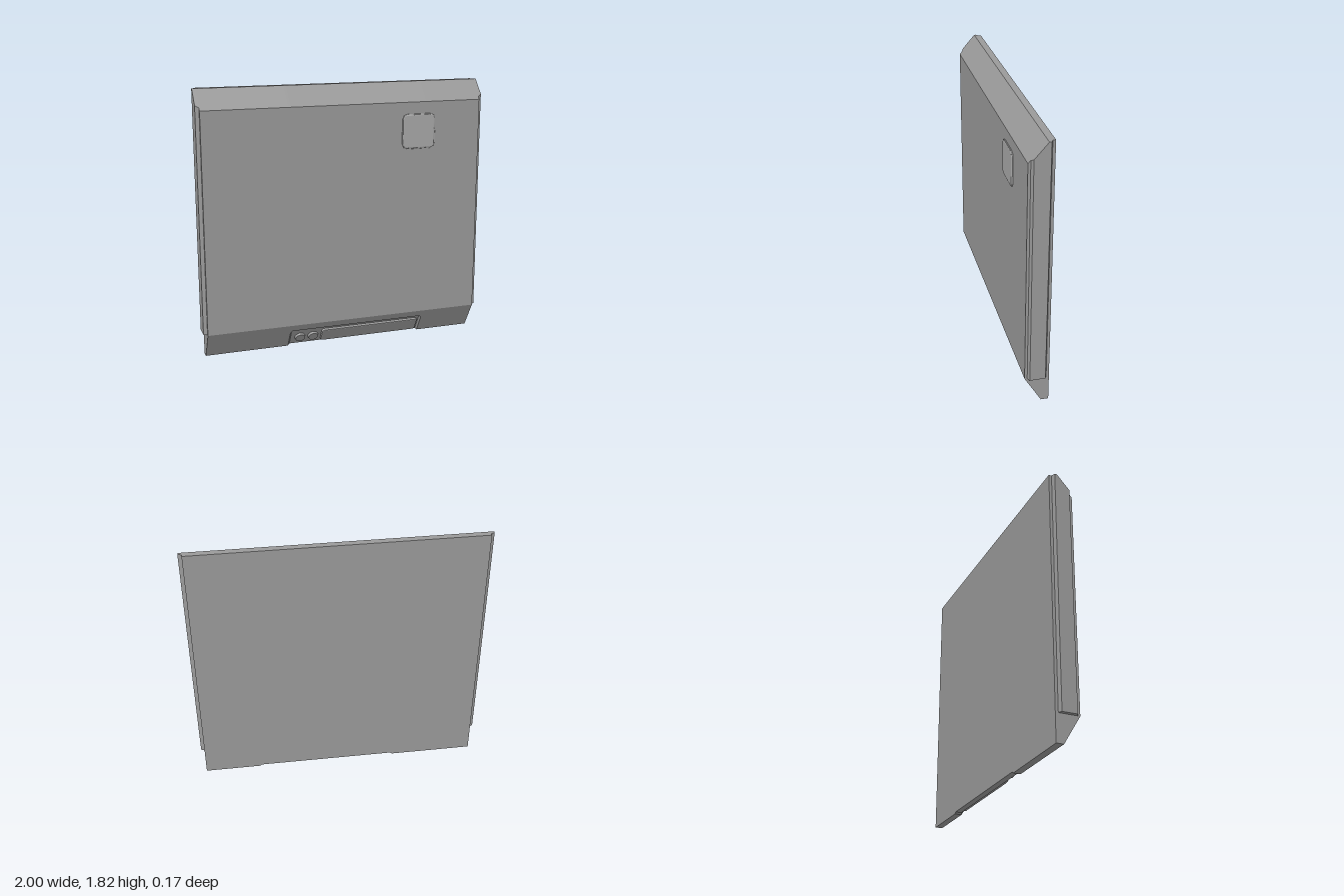
import * as THREE from 'three';
import { mergeVertices } from 'three/addons/utils/BufferGeometryUtils.js';

const material = new THREE.MeshStandardMaterial({ color: 0x999999, flatShading: true });
const smoothMaterial = new THREE.MeshStandardMaterial({ color: 0x999999 });
const badgeMaterial = new THREE.MeshStandardMaterial({ color: 0xa6a6a6 });

const BACK = -0.085, FRONT = 0.075, TOP = 1.82, SHOULDER = 1.69, CHIN = 0.185;
const LIP_BOTTOM = -0.035, LIP_TOP = -0.04;
const TILT = Math.atan2(FRONT - LIP_BOTTOM, CHIN);

// Skins a row of [x, profile] sections, profiles being [z, y] points, and caps both ends
function loft(name, sections) {
  const pos = [];
  const put = (i, j) => {
    const [x, profile] = sections[i];
    const [z, y] = profile[j % profile.length];
    pos.push(x, y, z);
  };
  const n = sections[0][1].length, last = sections.length - 1;
  for (let i = 0; i < last; i++) {
    for (let j = 0; j < n; j++) {
      put(i, j); put(i + 1, j); put(i + 1, j + 1);
      put(i, j); put(i + 1, j + 1); put(i, j + 1);
    }
  }
  for (let k = 1; k < n - 1; k++) {
    put(0, 0); put(0, k); put(0, k + 1);
    put(last, 0); put(last, k + 1); put(last, k);
  }
  const geo = new THREE.BufferGeometry();
  geo.setAttribute('position', new THREE.Float32BufferAttribute(pos, 3));
  geo.computeVertexNormals();
  const mesh = new THREE.Mesh(geo, material);
  mesh.name = name;
  return mesh;
}

// Point on the lower slope at height y, sunk inwards by depth
const chin = (y, depth) => [LIP_BOTTOM + y * Math.tan(TILT) - depth * Math.cos(TILT), y + depth * Math.sin(TILT)];

// Side profile of the slab with a recess in its lower slope
function bodyProfile(lift, depth, recessTop) {
  const low = chin(lift, depth);
  return [
    [BACK, low[1]], low, chin(recessTop - 0.012, depth), chin(recessTop, 0),
    [FRONT, CHIN], [FRONT, SHOULDER], [LIP_TOP, TOP], [BACK, TOP],
  ];
}

// Side profile of a rail, following the upper slope
function railProfile(back, front) {
  const slopeY = TOP - (front - LIP_TOP) * (TOP - SHOULDER) / (FRONT - LIP_TOP);
  return [[back, CHIN], [front, CHIN], [front, slopeY], [LIP_TOP, TOP], [back, TOP]];
}

// Rounded rectangle centred on the origin
function roundedRect(w, h, r) {
  const s = new THREE.Shape();
  const x = w / 2 - r, y = h / 2 - r;
  s.absarc(x, y, r, 0, Math.PI / 2);
  s.absarc(-x, y, r, Math.PI / 2, Math.PI);
  s.absarc(-x, -y, r, Math.PI, Math.PI * 1.5);
  s.absarc(x, -y, r, Math.PI * 1.5, Math.PI * 2);
  return s;
}

// Bevelled plate standing on z = 0, with outer size w by h
function plateGeometry(w, h, r, depth, bevel, curveSegments) {
  return new THREE.ExtrudeGeometry(roundedRect(w - 2 * bevel, h - 2 * bevel, r), {
    depth: depth - bevel, bevelEnabled: true, bevelThickness: bevel, bevelSize: bevel,
    bevelSegments: 2, curveSegments,
  });
}

// Shares vertices so that the shading runs softly over the edges
function soften(geo) {
  geo.deleteAttribute('normal');
  geo.deleteAttribute('uv');
  const merged = mergeVertices(geo);
  merged.computeVertexNormals();
  return merged;
}

function addMesh(parent, name, geo, mat) {
  const mesh = new THREE.Mesh(geo, mat);
  mesh.name = name;
  parent.add(mesh);
  return mesh;
}

export function createModel() {
  const model = new THREE.Group();
  model.name = 'wallPanel';

  // Main slab with the control recess
  const plain = bodyProfile(0, 0, 0.12), sunk = bodyProfile(0.005, 0.012, 0.136);
  model.add(loft('body', [
    [-0.975, plain], [-0.395, plain], [-0.383, sunk], [0.573, sunk], [0.585, plain], [0.975, plain],
  ]));

  // Chamfered side rails
  const wide = railProfile(-0.066, 0.058), narrow = railProfile(-0.055, 0.047);
  model.add(loft('leftRail', [[0.97, wide], [0.977, wide], [1, narrow]]));
  model.add(loft('rightRail', [[-1, narrow], [-0.977, wide], [-0.97, wide]]));

  // Controls lying on the sloped recess floor
  const controls = new THREE.Group();
  controls.name = 'controls';
  controls.position.z = LIP_BOTTOM;
  controls.rotation.x = TILT;
  const bar = addMesh(controls, 'bar', plateGeometry(0.72, 0.112, 0.012, 0.017, 0.007, 5), smoothMaterial);
  bar.position.set(0.2, 0.074, -0.012);
  for (const x of [-0.315, -0.22]) {
    const knob = addMesh(controls, 'knob', new THREE.CylinderGeometry(0.034, 0.038, 0.02, 24), smoothMaterial);
    knob.rotation.x = Math.PI / 2;
    knob.position.set(x, 0.073, -0.006);
  }
  model.add(controls);

  // Square badge on the front: chamfered base under a soft-edged cushion
  const badge = new THREE.Group();
  badge.name = 'badge';
  badge.position.set(0.522, 1.49, FRONT);
  addMesh(badge, 'badgeBase', soften(plateGeometry(0.24, 0.24, 0.035, 0.006, 0.003, 1)), badgeMaterial);
  addMesh(badge, 'badgeCushion', soften(plateGeometry(0.23, 0.23, 0.025, 0.01, 0.006, 3)), badgeMaterial);
  model.add(badge);

  return model;
}
